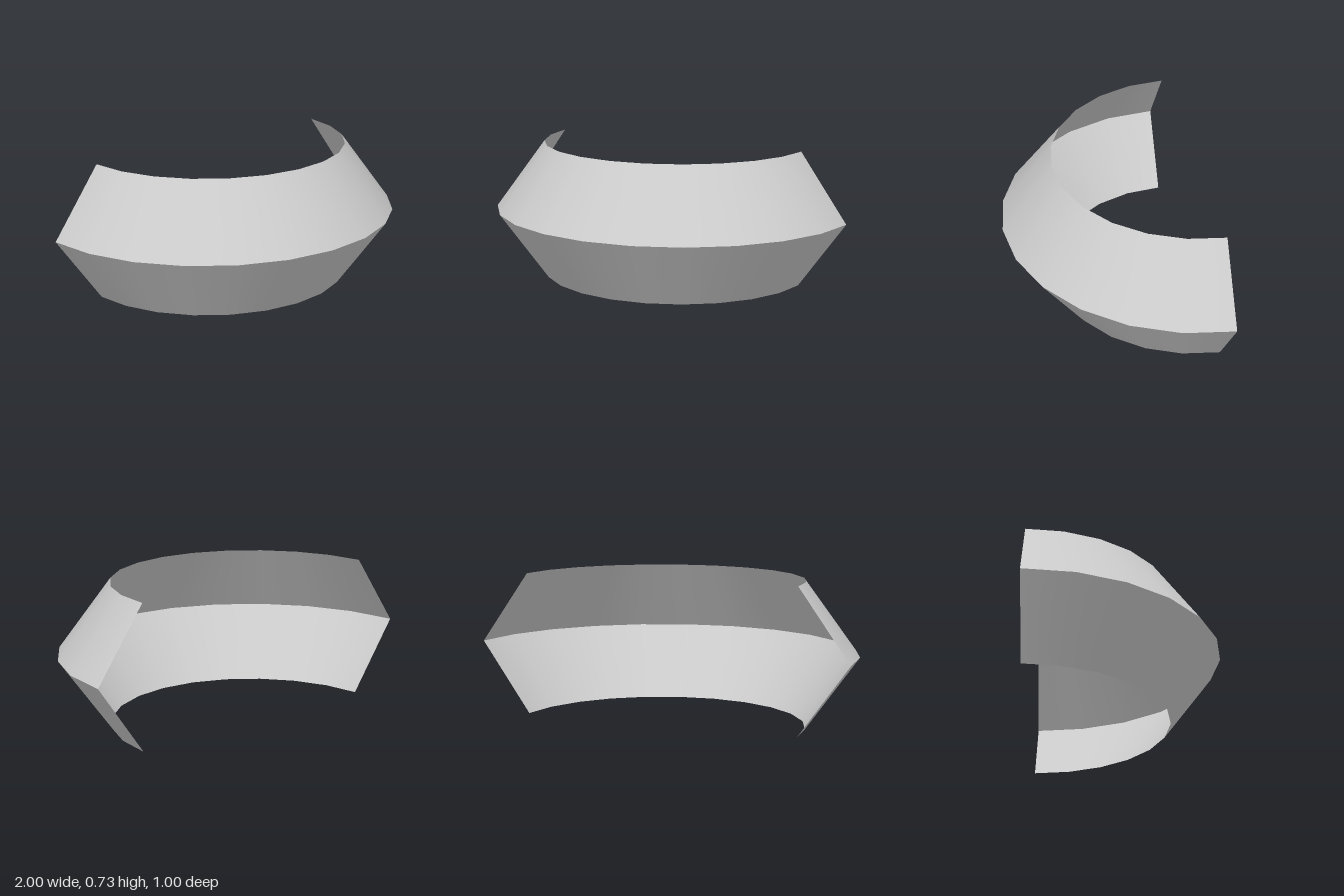
import * as THREE from 'three';

const OUTER = 1, INNER = 0.735, HEIGHT = 0.73, SEGMENTS = 12;

export function createModel() {
  const group = new THREE.Group();
  group.name = 'halfRing';
  const grey = new THREE.MeshStandardMaterial({ color: 0xcccccc, side: THREE.DoubleSide });
  grey.name = 'light grey';

  // Half-turn conical band; separate bands keep the rim sharp
  function addBand(name, r0, y0, r1, y1) {
    const profile = [new THREE.Vector2(r0, y0), new THREE.Vector2(r1, y1)];
    const band = new THREE.Mesh(
      new THREE.LatheGeometry(profile, SEGMENTS, -Math.PI / 2, Math.PI), grey);
    band.name = name;
    band.position.z = -0.5;
    group.add(band);
  }

  addBand('lowerBand', INNER, 0, OUTER, HEIGHT / 2);
  addBand('upperBand', OUTER, HEIGHT / 2, INNER, HEIGHT);
  return group;
}
